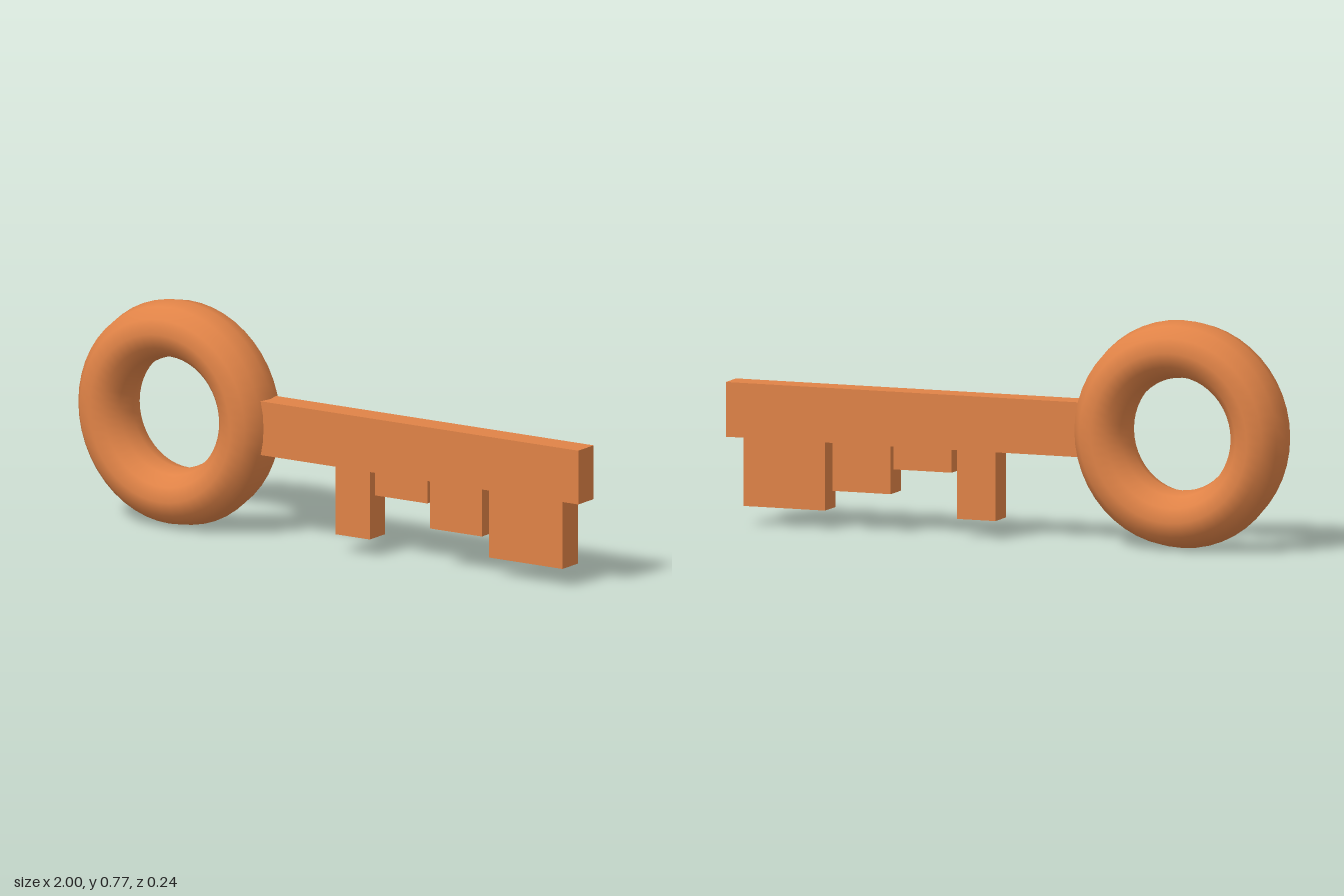
import * as THREE from 'three';

export function createModel() {
  const model = new THREE.Group();
  model.name = 'key';
  const copper = new THREE.MeshStandardMaterial({ color: 0xe08347 });
  copper.name = 'copper';

  // Ring handle: a torus slightly stretched in depth
  const ringGeometry = new THREE.TorusGeometry(0.286, 0.097, 12, 48);
  ringGeometry.scale(0.983, 1, 0.12 / 0.097);
  const ring = new THREE.Mesh(ringGeometry, copper);
  ring.name = 'ringHandle';
  ring.position.set(-0.624, 0.385, 0);
  model.add(ring);

  // Blade: shaft outline with the teeth cut along its lower edge
  const left = -0.34, right = 1, top = 0.478, base = 0.294, depth = 0.092;
  const teeth = [ // [left x, right x, bottom y]
    [0.03, 0.167, 0.063],
    [0.187, 0.397, 0.217],
    [0.407, 0.615, 0.133],
    [0.643, 0.937, 0.065],
  ];
  const outline = new THREE.Shape();
  outline.moveTo(left, top);
  outline.lineTo(left, base);
  for (const [x0, x1, y] of teeth) {
    outline.lineTo(x0, base);
    outline.lineTo(x0, y);
    outline.lineTo(x1, y);
    outline.lineTo(x1, base);
  }
  outline.lineTo(right, base);
  outline.lineTo(right, top);
  outline.closePath();
  const bladeGeometry = new THREE.ExtrudeGeometry(outline, { depth, bevelEnabled: false });
  bladeGeometry.translate(0, 0, -depth / 2);
  const blade = new THREE.Mesh(bladeGeometry, copper);
  blade.name = 'toothedBlade';
  model.add(blade);

  return model;
}
